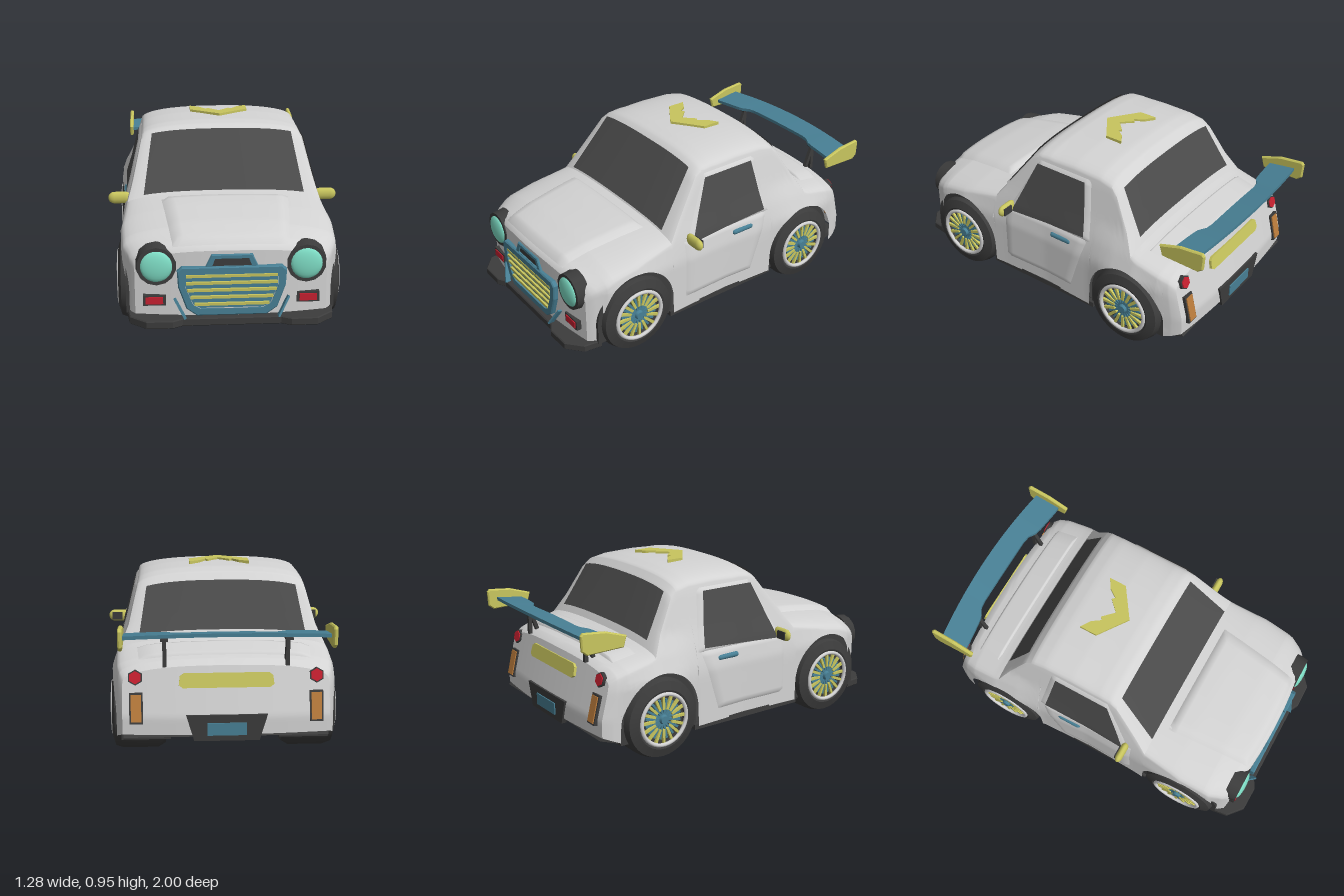
import * as THREE from 'three';
import { mergeGeometries, toCreasedNormals } from 'three/addons/utils/BufferGeometryUtils.js';

const mat = (name, color) => new THREE.MeshStandardMaterial({ name, color, side: THREE.DoubleSide });
const clamp = (v) => Math.min(1, Math.max(0, v));
// piecewise linear curve through [z, value] keys, z falling from front to rear
const curve = (keys, z) => {
  for (let i = 1; i < keys.length; i++) {
    const [z0, v0] = keys[i - 1], [z1, v1] = keys[i];
    if (z >= z1) return v0 + (v1 - v0) * clamp((z0 - z) / (z0 - z1));
  }
  return keys[keys.length - 1][1];
};

// body rules: centreline height, half width in plan, crown height of the top
const TOP = [[0.935, 0.475], [0.92, 0.497], [0.88, 0.517], [0.75, 0.55], [0.55, 0.58], [0.37, 0.598], [0.15, 0.895],
  [0.11, 0.92], [0.04, 0.932], [-0.13, 0.938], [-0.3, 0.932], [-0.38, 0.915], [-0.42, 0.876], [-0.575, 0.6],
  [-0.62, 0.588], [-0.75, 0.565], [-0.82, 0.55], [-0.85, 0.525]];
const PLAN = [[0.935, 0.488], [0.9, 0.512], [0.8, 0.55], [0.6, 0.572], [0.3, 0.553], [0, 0.545], [-0.3, 0.56],
  [-0.45, 0.585], [-0.6, 0.59], [-0.75, 0.568], [-0.82, 0.548], [-0.85, 0.525]];
const CROWN = [[0.935, 0.1], [0.6, 0.08], [0.37, 0.055], [0.15, 0.055], [0, 0.07], [-0.38, 0.07], [-0.57, 0.06], [-0.85, 0.08]];
const WHEEL_Z = [0.61, -0.55], WHEEL_Y = 0.22, ARCH_Z = 0.235, ARCH_Y = 0.248;

const sideX = (y, z) => {
  const b = curve(PLAN, z);
  const waist = b + (Math.min(b, 0.545) - b) * clamp((y - 0.45) / 0.2);
  return waist - 0.02 * clamp((y - 0.42) / 0.13) - 0.25 * Math.max(0, y - 0.55);
};
const edgeY = (z) => curve(TOP, z) - curve(CROWN, z);
const topY = (x, z) => {
  const s = clamp(Math.abs(x) / sideX(edgeY(z), z));
  return edgeY(z) + curve(CROWN, z) * Math.sqrt(1 - s ** 2.5);
};
const lowY = (z) => WHEEL_Z.reduce((y, c) => {
  const d = Math.abs(z - c) / ARCH_Z;
  return d <= 1 ? Math.max(y, WHEEL_Y + ARCH_Y * Math.sqrt(1 - d * d)) : y;
}, 0.12 + 0.06 * clamp((-z - 0.75) / 0.1));
// the tail leans out towards the bumper; nose and tail bow in plan
const bow = (x, y, z) => {
  const tail = clamp((-z - 0.75) / 0.1), nose = clamp((z - 0.75) / 0.185), k = (x / 0.48) ** 2;
  return z - 0.045 * nose * k + tail * (0.025 * k - 0.07 * clamp((0.54 - y) / 0.27));
};

function grid(points, cols, crease) {
  const rows = points.length / cols, idx = [];
  for (let i = 0; i < rows - 1; i++) for (let j = 0; j < cols - 1; j++) {
    const a = i * cols + j, c = a + cols;
    idx.push(a, c, a + 1, a + 1, c, c + 1);
  }
  const g = new THREE.BufferGeometry();
  g.setAttribute('position', new THREE.Float32BufferAttribute(points.flat(), 3));
  g.setIndex(idx);
  g.computeVertexNormals();
  return crease ? toCreasedNormals(g, crease) : g;
}

// panel lying on the body: four corners, spread over a surface rule
function patch([p, q, r, s], rule, off, raised) {
  const n = 20, pts = [];
  for (let i = 0; i <= n; i++) for (let j = 0; j <= n; j++) {
    const u = j / n, v = i / n;
    const at = (k) => (p[k] * (1 - u) + q[k] * u) * (1 - v) + (s[k] * (1 - u) + r[k] * u) * v;
    const lift = raised ? off * Math.min(1, n * Math.min(u, 1 - u, v, 1 - v)) : off;
    pts.push(rule(at(0), at(1), lift));
  }
  return grid(pts, n + 1);
}
const onTop = (x, z, off) => [x, topY(x, z) + off, bow(x, topY(x, z), z)];
const onSide = (s) => (z, y, off) => [s * (sideX(y, z) + off), y, z];

const shapeOf = (pts) => new THREE.Shape(pts.map(([a, b]) => new THREE.Vector2(a, b)));
const flip = (half) => half.map(([x, y]) => [-x, y]).reverse();
const mirrored = (half) => [...half, ...flip(half)];
const extrude = (shape, depth, bevel = 0) => new THREE.ExtrudeGeometry(shape, {
  depth, bevelEnabled: bevel > 0, bevelSize: bevel, bevelThickness: bevel, bevelSegments: 1, curveSegments: 20 });
const frontPlate = (pts, z, depth, hole, bevel) => {
  const s = shapeOf(pts);
  if (hole) s.holes.push(shapeOf(hole));
  return extrude(s, depth, bevel).translate(0, 0, z);
};
// shape in (z, y), extruded between two x values
const sidePlate = (shape, x0, x1, bevel) => extrude(shape, x1 - x0, bevel).rotateY(-Math.PI / 2).translate(x1, 0, 0);
// shape in (x, z), extruded between two heights
const flatPlate = (pts, y0, y1, bevel) => extrude(shapeOf(pts), y1 - y0, bevel).rotateX(Math.PI / 2).translate(0, y1, 0);
const box = (w, h, d, x, y, z, rx = 0, rz = 0) =>
  new THREE.BoxGeometry(w, h, d).rotateX(rx).rotateZ(rz).translate(x, y, z);

export function createModel() {
  const car = new THREE.Group();
  car.name = 'car';
  const paint = mat('paint', 0xd3d3d3), glass = mat('glass', 0x4b4b4b), dark = mat('darkTrim', 0x3c3c3c);
  const blue = mat('blueTrim', 0x488095), yellow = mat('yellowTrim', 0xc8c55e), lamp = mat('headlight', 0x7fdec6);
  const red = mat('redLight', 0xc72030), orange = mat('orangeLight', 0xbb7c3c);
  const add = (name, geo, m, parent = car) => {
    const mesh = new THREE.Mesh(geo, m);
    mesh.name = name;
    parent.add(mesh);
  };

  // body shell, lofted from front to rear
  const zs = TOP.concat(PLAN).map((k) => k[0]);
  for (let z = 0.9; z > -0.84; z -= 0.03) zs.push(z);
  for (const c of WHEEL_Z) {
    zs.push(c + ARCH_Z + 0.002, c - ARCH_Z - 0.002);
    for (let k = 0; k <= 20; k++) zs.push(c + ARCH_Z * Math.cos(k * Math.PI / 20));
  }
  zs.sort((a, b) => b - a);
  const SIDE = 14, ARC = 12;
  const rings = zs.filter((z, i) => i === 0 || zs[i - 1] - z > 0.0005).map((z) => {
    const half = [], e = edgeY(z), l = lowY(z), w = sideX(e, z);
    const put = (x, y) => half.push([x, y, bow(x, y, z)]);
    for (let i = 0; i < SIDE; i++) {
      const y = l + (e - l) * i / SIDE;
      put(sideX(y, z), y);
    }
    for (let i = 0; i <= ARC; i++) {
      const x = i === ARC ? 0 : w * Math.cos(i / ARC * Math.PI / 2);
      put(x, topY(x, z));
    }
    return [...half, ...half.slice(0, -1).reverse().map(([x, y, zz]) => [-x, y, zz])];
  });
  add('bodyShell', grid(rings.flat(), rings[0].length, 0.6), paint);
  const cap = (ring, z) => grid(ring.slice(0, SIDE + ARC + 1).flatMap(([w, y]) =>
    Array.from({ length: 13 }, (_, j) => [w * (1 - j / 6), y, bow(w * (1 - j / 6), y, z)])), 13);
  add('nosePanel', cap(rings[0], 0.935), paint);
  add('tailPanel', cap(rings[rings.length - 1], -0.85), paint);

  // panels and glass
  add('hoodLid', patch([[-0.345, 0.42], [0.345, 0.42], [0.295, 0.915], [-0.295, 0.915]], onTop, 0.02, true), paint);
  add('trunkLid', patch([[-0.45, -0.63], [0.45, -0.63], [0.44, -0.775], [-0.44, -0.775]], onTop, 0.012, true), paint);
  add('windshield', patch([[-0.39, 0.152], [0.39, 0.152], [0.44, 0.369], [-0.44, 0.369]], onTop, 0.012), glass);
  add('rearWindow', patch([[-0.4, -0.425], [0.4, -0.425], [0.44, -0.56], [-0.44, -0.56]], onTop, 0.012), glass);

  // underside and front lip
  add('underbody', sidePlate(shapeOf([[0.86, 0.1], [0.86, 0.13], [-0.72, 0.13], [-0.88, 0.185], [-0.9, 0.165], [-0.72, 0.1]]),
    -0.52, 0.52), dark);
  add('frontLip', flatPlate(mirrored([[0.525, 0.83], [0.512, 0.92], [0.43, 0.99], [0.3, 0.992], [0.25, 0.965]]), 0.09, 0.122, 0.005), dark);

  // grille with slats and small intake above
  const outer = mirrored([[0.25, 0.388], [0.27, 0.37], [0.265, 0.29], [0.225, 0.175], [0.175, 0.138]]);
  const inner = mirrored([[0.235, 0.355], [0.235, 0.29], [0.195, 0.19], [0.16, 0.17]]);
  add('grilleFrame', frontPlate(outer, 0.925, 0.02, inner, 0.006), blue);
  add('grilleBack', frontPlate(inner, 0.925, 0.014), blue);
  add('grilleSlats', mergeGeometries([0.345, 0.307, 0.269, 0.231, 0.193].map((y, i) =>
    box([0.46, 0.46, 0.45, 0.42, 0.38][i], 0.014, 0.016, 0, y, 0.943))), yellow);
  const mouth = mirrored([[0.085, 0.436], [0.1, 0.395]]);
  add('intakeFrame', frontPlate(mirrored([[0.1, 0.452], [0.13, 0.39]]), 0.91, 0.03, mouth, 0.005), blue);
  add('intakeMouth', frontPlate(mouth, 0.93, 0.007), dark);

  // roof chevron
  const arm = [[0.165, -0.135], [0.165, -0.235], [0.11, -0.2], [0.075, -0.15], [0.06, -0.165]];
  add('roofChevron', flatPlate([[0, -0.02], ...arm, [0, -0.105], ...flip(arm)], 0.925, 0.948), yellow);

  // tail details
  const rearZ = (x, y) => bow(x, y, -0.85), lean = 0.25;
  add('tailStrip', frontPlate(mirrored([[0.215, 0.04], [0.235, 0.025], [0.24, -0.02], [0.22, -0.035]]), -0.008, 0.016)
    .rotateX(lean).translate(0, 0.45, rearZ(0, 0.45) - 0.001), yellow);
  add('bumperRecess', frontPlate(mirrored([[0.205, 0.285], [0.165, 0.15]]), -0.926, 0.03), dark);
  add('rearPlate', box(0.2, 0.065, 0.02, 0, 0.212, -0.922), blue);

  // rear wing
  const blade = new THREE.BoxGeometry(1.04, 0.018, 1, 24, 1, 1), bp = blade.attributes.position;
  for (let i = 0; i < bp.count; i++) {
    const x = bp.getX(i), k = 1 - (x / 0.52) ** 2, back = bp.getZ(i) < 0;
    const z = back ? -0.945 - 0.035 * k : -0.795 - 0.03 * clamp((0.5 - Math.abs(x)) / 0.25) - 0.03 * clamp((0.31 - Math.abs(x)) / 0.06);
    bp.setXYZ(i, x, bp.getY(i) + 0.672 + 0.018 * k + (back ? 0.02 : 0), z);
  }
  blade.computeVertexNormals();
  add('wingBlade', toCreasedNormals(blade, 0.6), blue);

  for (const s of [1, -1]) {
    const side = s > 0 ? 'left' : 'right', rule = onSide(s);
    // door, window frame and window
    add(side + 'Door', patch([[0.285, 0.19], [-0.175, 0.19], [-0.285, 0.53], [0.285, 0.53]], rule, 0.01, true), paint);
    add(side + 'WindowFrame', patch([[0.275, 0.505], [-0.3, 0.525], [-0.25, 0.85], [0.095, 0.85]], rule, 0.01, true), paint);
    add(side + 'Window', patch([[0.24, 0.515], [-0.265, 0.545], [-0.22, 0.835], [0.102, 0.835]], rule, 0.015), glass);
    add(side + 'Handle', new THREE.CapsuleGeometry(0.016, 0.11, 4, 10).rotateX(Math.PI / 2).translate(s * 0.545, 0.475, -0.11), blue);
    add(side + 'Sill', box(0.07, 0.03, 0.72, s * 0.515, 0.113, 0.03), dark);
    // mirror
    add(side + 'Mirror', new THREE.CapsuleGeometry(0.034, 0.06, 6, 14).rotateZ(Math.PI / 2).scale(1, 1, 0.6)
      .translate(s * 0.575, 0.54, 0.25), yellow);
    add(side + 'MirrorGlass', box(0.06, 0.045, 0.006, s * 0.59, 0.54, 0.229), dark);
    // headlight and indicator
    add(side + 'LampRing', new THREE.CylinderGeometry(0.1, 0.11, 0.07, 14).rotateX(Math.PI / 2).translate(s * 0.378, 0.393, 0.89), dark);
    add(side + 'Lamp', new THREE.SphereGeometry(0.082, 20, 12).scale(1, 1, 0.28).translate(s * 0.378, 0.393, 0.922), lamp);
    add(side + 'IndicatorFrame', box(0.115, 0.055, 0.03, s * 0.39, 0.21, 0.908), dark);
    add(side + 'Indicator', box(0.088, 0.038, 0.008, s * 0.39, 0.21, 0.924), red);
    add(side + 'FrontFin', box(0.01, 0.12, 0.03, s * 0.262, 0.172, 0.945, -0.3, s * -0.5), blue);
    // rear lights
    const hex = (r, d) => new THREE.CylinderGeometry(r, r, d, 6).rotateX(Math.PI / 2 + lean)
      .translate(s * 0.458, 0.465, rearZ(0.458, 0.465));
    add(side + 'TailLightRim', hex(0.04, 0.024), dark);
    add(side + 'TailLight', hex(0.033, 0.036), red);
    const markerZ = rearZ(0.455, 0.315);
    add(side + 'RearMarkerRim', box(0.068, 0.158, 0.024, s * 0.455, 0.315, markerZ, 0.24), dark);
    add(side + 'RearMarker', box(0.052, 0.138, 0.036, s * 0.455, 0.315, markerZ, 0.24), orange);
    // wing end plate and strut
    add(side + 'EndPlate', sidePlate(shapeOf([[-0.745, 0.695], [-0.86, 0.732], [-0.985, 0.745], [-0.994, 0.735], [-0.99, 0.66],
      [-0.965, 0.64], [-0.76, 0.645]]), s * 0.525 - 0.005, s * 0.525 + 0.005, 0.006), yellow);
    add(side + 'WingStrut', mergeGeometries([box(0.02, 0.16, 0.02, s * 0.31, 0.6, -0.85),
      box(0.02, 0.14, 0.02, s * 0.31, 0.605, -0.83, -0.35), box(0.04, 0.012, 0.08, s * 0.31, 0.67, -0.87)]), dark);

    // wheels and arch liners
    WHEEL_Z.forEach((zc, n) => {
      const arch = new THREE.Shape();
      arch.absellipse(zc, WHEEL_Y, ARCH_Z + 0.003, ARCH_Y + 0.002, 0, Math.PI);
      arch.lineTo(zc - ARCH_Z - 0.003, 0.115).lineTo(zc + ARCH_Z + 0.003, 0.115);
      add('archLiner', sidePlate(arch, s > 0 ? 0.28 : -0.535, s > 0 ? 0.535 : -0.28), dark);
      const wheel = new THREE.Group();
      wheel.name = side + (n ? 'RearWheel' : 'FrontWheel');
      wheel.position.set(s * (n ? 0.446 : 0.436), WHEEL_Y, zc);
      wheel.rotation.y = s > 0 ? 0 : Math.PI;
      const profile = [[0, -0.13], [0.13, -0.14], [0.195, -0.14], [0.22, -0.1], [0.22, 0.085], [0.207, 0.125], [0.16, 0.14],
        [0.148, 0.135], [0.14, 0.105], [0, 0.105]].map(([r, a]) => new THREE.Vector2(r, a));
      add('tire', toCreasedNormals(new THREE.LatheGeometry(profile, 36).rotateZ(-Math.PI / 2), 0.7), dark, wheel);
      add('rim', new THREE.TorusGeometry(0.139, 0.011, 8, 36).rotateY(Math.PI / 2).translate(0.136, 0, 0), paint, wheel);
      const spokes = (w, from, to, x, turn) => mergeGeometries(Array.from({ length: 16 }, (_, i) =>
        new THREE.BoxGeometry(0.014, to - from, w).translate(x, (from + to) / 2, 0).rotateX((i + turn) * Math.PI / 8)));
      add('yellowSpokes', spokes(0.014, 0.055, 0.132, 0.128, 0), yellow, wheel);
      add('blueSpokes', spokes(0.012, 0.02, 0.11, 0.122, 0.5), blue, wheel);
      add('hub', new THREE.CylinderGeometry(0.022, 0.034, 0.04, 12).rotateZ(-Math.PI / 2).translate(0.125, 0, 0), blue, wheel);
      car.add(wheel);
    });
  }
  return car;
}
